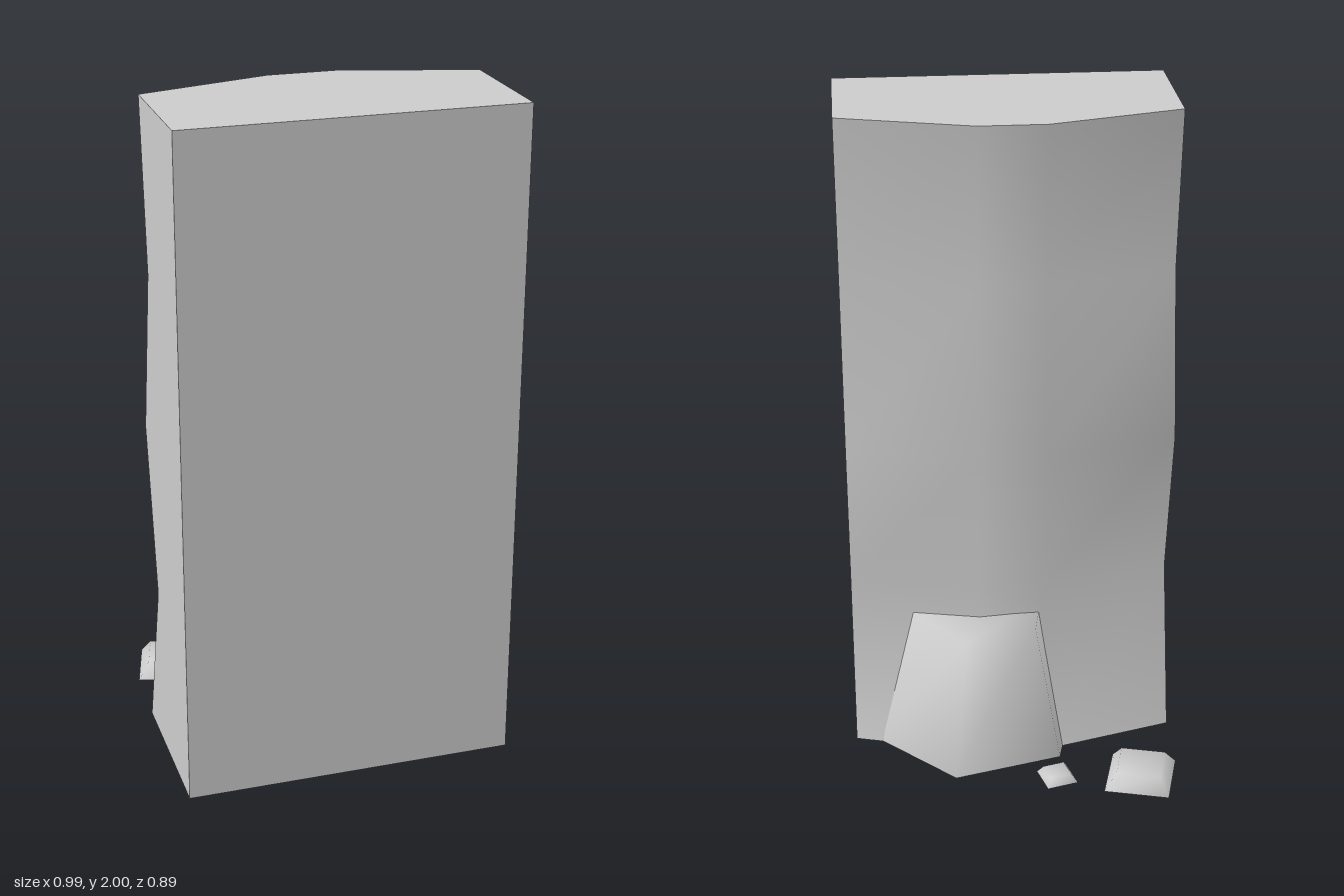
import * as THREE from 'three';
import { toCreasedNormals } from 'three/addons/utils/BufferGeometryUtils.js';

const grey = new THREE.MeshStandardMaterial({ color: 0xcccccc });

// Moves every vertex by a rule, then smooths across edges below the crease angle
function shaped(geometry, rule, crease) {
  const pos = geometry.attributes.position;
  const v = new THREE.Vector3();
  for (let i = 0; i < pos.count; i++) {
    rule(v.fromBufferAttribute(pos, i));
    pos.setXYZ(i, v.x, v.y, v.z);
  }
  return toCreasedNormals(geometry, crease);
}

function addMesh(group, name, geometry) {
  const mesh = new THREE.Mesh(geometry, grey);
  mesh.name = name;
  group.add(mesh);
  return mesh;
}

// Wall slab: flat front, bulging and wavy back
function wallGeometry() {
  const columns = [-0.495, -0.1, 0.1, 0.495];
  const wave = [-0.05, 0.1, 0, 0.1, 0.05];
  return shaped(new THREE.BoxGeometry(3, 4, 1, 3, 4, 1), (v) => {
    const col = Math.round(v.x + 1.5);
    const row = Math.round(v.y + 2);
    const bulge = col === 1 || col === 2 ? 0.11 : 0;
    v.set(columns[col], row * 0.5, v.z > 0 ? 0.445 : wave[row] - bulge);
  }, 0.6);
}

// Boulder: a skewed block whose front corners are buried in the wall
function boulderGeometry() {
  const corners = {
    bottom: [[-0.135, 0, -0.205], [0.195, 0, -0.29], [-0.17, 0, -0.06], [0.43, 0, -0.055]],
    top: [[-0.065, 0.415, -0.115], [0.15, 0.405, -0.167], [-0.1, 0.435, 0.05], [0.37, 0.415, 0.1]],
  };
  return shaped(new THREE.BoxGeometry(1, 1, 1), (v) => {
    const index = (v.x > 0 ? 1 : 0) + (v.z > 0 ? 2 : 0);
    v.fromArray((v.y > 0 ? corners.top : corners.bottom)[index]);
  }, 1.55);
}

// Pebble: a low block narrowing to the top
function pebbleGeometry(size, height) {
  return shaped(new THREE.BoxGeometry(size, height, size), (v) => {
    if (v.y > 0) {
      v.x *= 0.68;
      v.z *= 0.68;
    }
    v.y += height / 2;
  }, 1.55);
}

export function createModel() {
  const group = new THREE.Group();
  group.name = 'rockWall';
  addMesh(group, 'wall', wallGeometry());
  addMesh(group, 'boulder', boulderGeometry());

  const large = addMesh(group, 'largePebble', pebbleGeometry(0.197, 0.05));
  large.position.set(-0.37, 0, -0.327);
  large.rotation.y = -0.26;

  const small = addMesh(group, 'smallPebble', pebbleGeometry(0.098, 0.025));
  small.position.set(-0.115, 0, -0.31);
  small.rotation.y = 0.26;
  return group;
}
